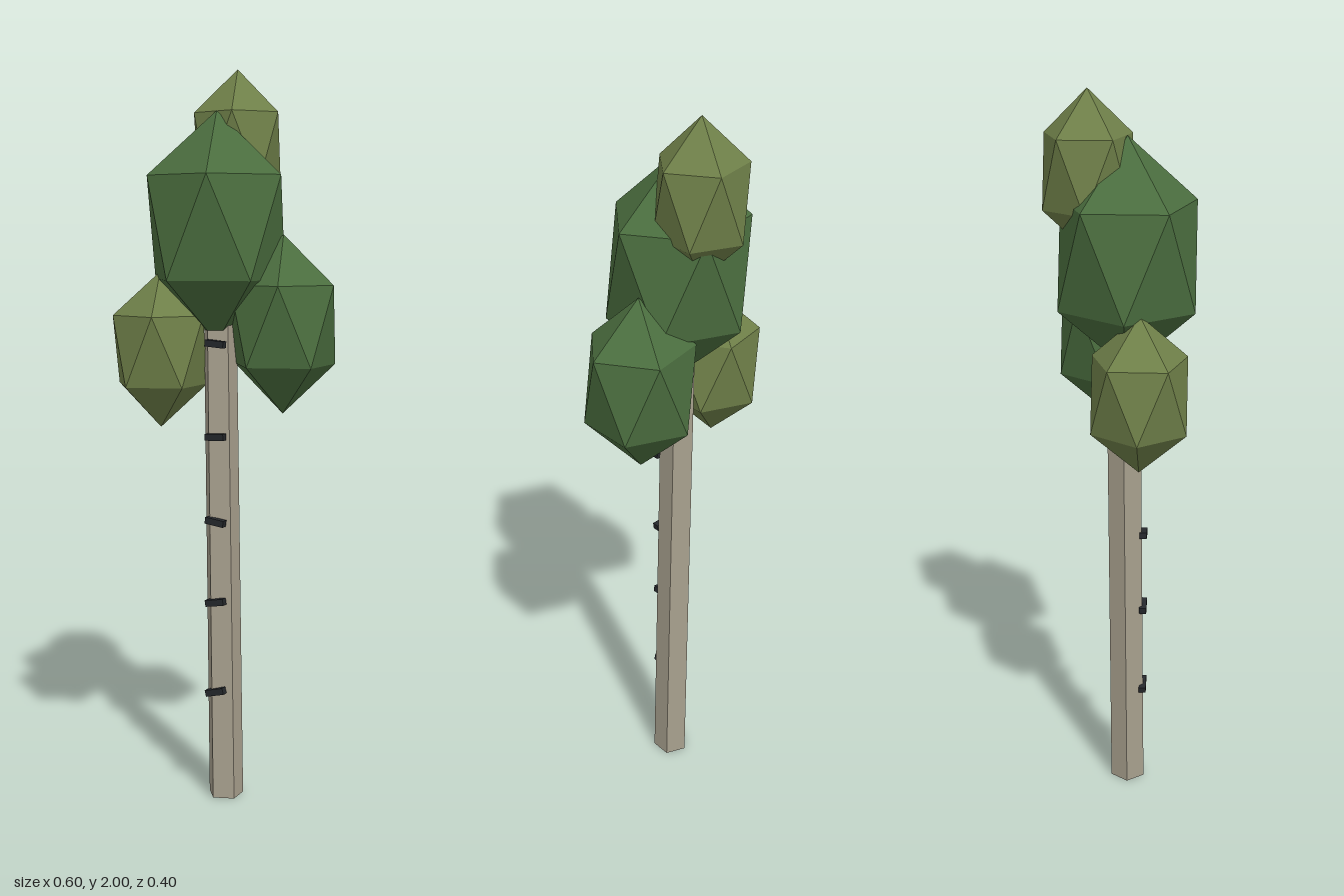
import * as THREE from 'three';

const paint = (color) => new THREE.MeshStandardMaterial({ color, flatShading: true });

export function createModel() {
  const tree = new THREE.Group();
  tree.name = 'tree';
  const darkLeaf = paint(0x4b6e3f);
  const lightLeaf = paint(0x6f8049);
  const bark = paint(0xa8a08e);
  const markColor = paint(0x25282c);

  function add(name, geometry, material) {
    const mesh = new THREE.Mesh(geometry, material);
    mesh.name = name;
    tree.add(mesh);
    return mesh;
  }

  // Trunk: five-sided, slightly tapered, leaning a little to the right and back
  const height = 1.4;
  const trunk = new THREE.CylinderGeometry(0.047, 0.05, height, 5);
  trunk.rotateY(-Math.PI / 2); // one corner towards -x, a flat side towards +x
  trunk.translate(0.01, height / 2, 0.022);
  const pos = trunk.attributes.position;
  for (let i = 0; i < pos.count; i++) {
    const y = pos.getY(i);
    pos.setX(i, pos.getX(i) - 0.018 * y);
    pos.setZ(i, pos.getZ(i) - 0.009 * y);
  }
  add('trunk', trunk, bark);

  // Dark bark marks on the front: height, tilt
  [[0.306, 0.24], [0.56, 0.16], [0.785, -0.14], [1.018, 0.04], [1.27, -0.08]].forEach(([y, tilt], i) => {
    const mark = add('barkMark' + (i + 1), new THREE.BoxGeometry(0.055, 0.018, 0.02), markColor);
    mark.position.set(0, y, 0.065);
    mark.rotation.z = tilt;
  });

  // Leaf clumps: stretched icosahedra standing on a corner
  const clump = new THREE.IcosahedronGeometry(1, 0);
  clump.rotateX(-Math.atan2((1 + Math.sqrt(5)) / 2, 1));
  clump.rotateY(Math.PI / 2);
  [
    ['mainFoliage', darkLeaf, [-0.0175, 1.578, 0.02], 0.21, 0.307],
    ['topFoliage', lightLeaf, [-0.005, 1.791, -0.083], 0.134, 0.209],
    ['leftFoliage', darkLeaf, [0.155, 1.32, -0.033], 0.162, 0.24],
    ['rightFoliage', lightLeaf, [-0.17, 1.248, 0.058], 0.1455, 0.2125],
  ].forEach(([name, material, center, radius, halfHeight]) => {
    const mesh = add(name, clump, material);
    mesh.position.set(...center);
    mesh.scale.set(radius, halfHeight, radius);
  });

  return tree;
}
